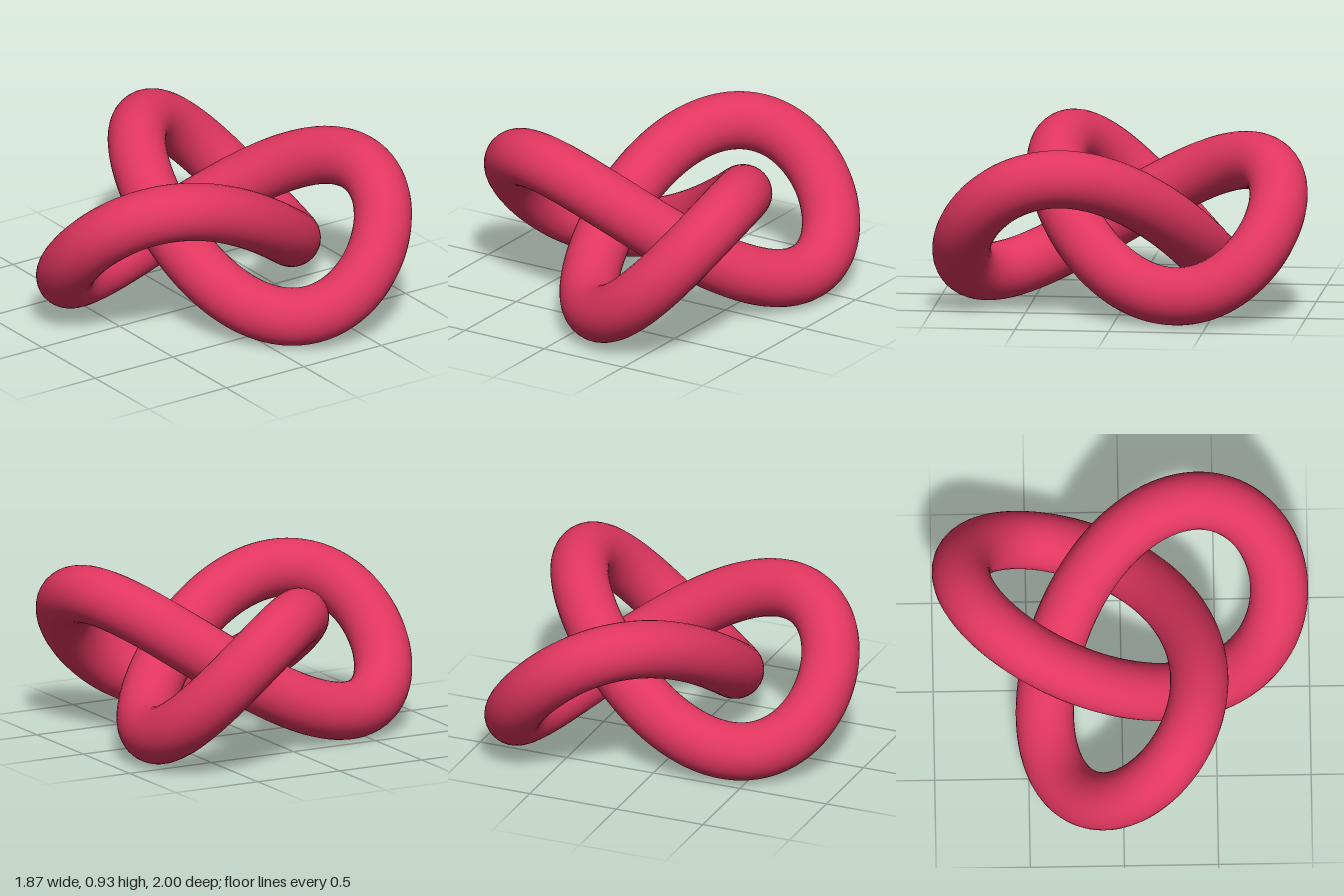
import * as THREE from 'three';

const SCALE = 0.3091;   // size of one unit of the knot formula
const TUBE = 0.1546;    // tube radius

// Closed trefoil centreline, one lobe pointing to -x
class TrefoilCurve extends THREE.Curve {
  getPoint(u, target = new THREE.Vector3()) {
    const t = u * Math.PI * 2;
    return target.set(
      Math.cos(t) - 2 * Math.cos(2 * t) + 0.469,
      -Math.sin(3 * t),
      Math.sin(t) + 2 * Math.sin(2 * t)
    ).multiplyScalar(SCALE);
  }
}

export function createModel() {
  const group = new THREE.Group();
  group.name = 'trefoilKnot';

  // Round tube swept along the knot, resting on the floor
  const material = new THREE.MeshStandardMaterial({ color: 0xe0365f });
  const knot = new THREE.Mesh(
    new THREE.TubeGeometry(new TrefoilCurve(), 240, TUBE, 32, true),
    material
  );
  knot.name = 'knotTube';
  knot.position.y = SCALE + TUBE;
  group.add(knot);

  return group;
}
